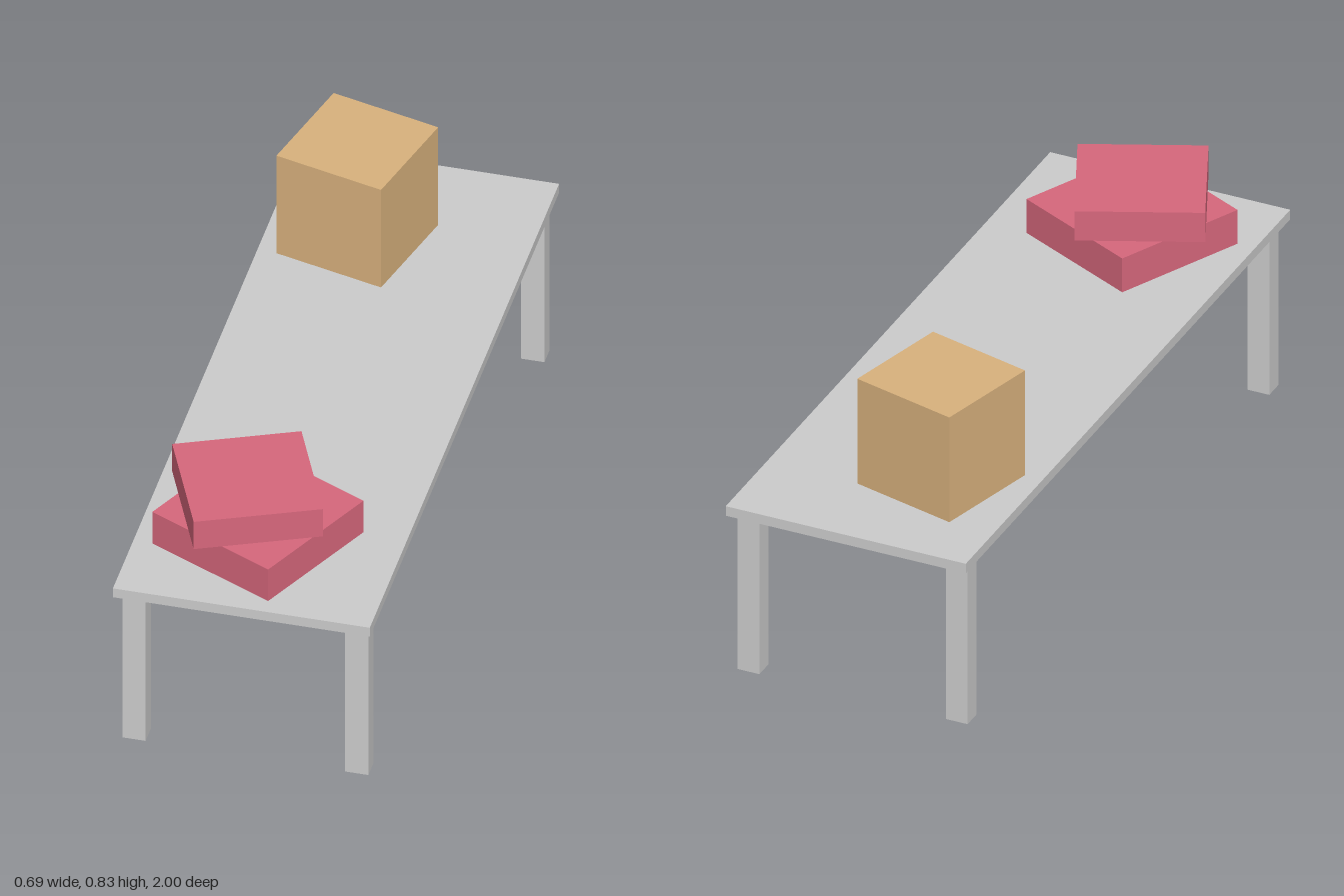
import * as THREE from 'three';

const grey = new THREE.MeshStandardMaterial({ color: 0xcccccc });
const tan = new THREE.MeshStandardMaterial({ color: 0xd8b17d });
const red = new THREE.MeshStandardMaterial({ color: 0xd6677c });

// Box standing on height y, turned about the vertical axis
function box(name, material, [w, h, d], [x, y, z], turn = 0) {
  const mesh = new THREE.Mesh(new THREE.BoxGeometry(w, h, d), material);
  mesh.name = name;
  mesh.position.set(x, y + h / 2, z);
  mesh.rotation.y = turn;
  return mesh;
}

export function createModel() {
  const model = new THREE.Group();
  model.name = 'tableWithBoxes';

  // Table: thin top on four slim legs
  const table = new THREE.Group();
  table.name = 'table';
  const underside = 0.486, topY = 0.515;
  table.add(box('tableTop', grey, [0.694, topY - underside, 2], [0, underside, 0]));
  for (const [sx, side] of [[1, 'Left'], [-1, 'Right']]) {
    for (const [sz, end] of [[1, 'front'], [-1, 'back']]) {
      table.add(box(`${end}${side}Leg`, grey, [0.063, underside, 0.056], [sx * 0.301, 0, sz * 0.93]));
    }
  }
  model.add(table);

  // Tall box at the back
  model.add(box('tallBox', tan, [0.312, 0.319, 0.312], [-0.105, topY, -0.636], -0.25));

  // Two flat boxes stacked at the front, turned against each other
  const stack = new THREE.Group();
  stack.name = 'boxStack';
  stack.add(box('lowerBox', red, [0.394, 0.103, 0.391], [-0.034, topY, 0.692], -0.443));
  stack.add(box('upperBox', red, [0.343, 0.089, 0.345], [-0.063, topY + 0.103, 0.688], 0.414));
  model.add(stack);

  return model;
}
